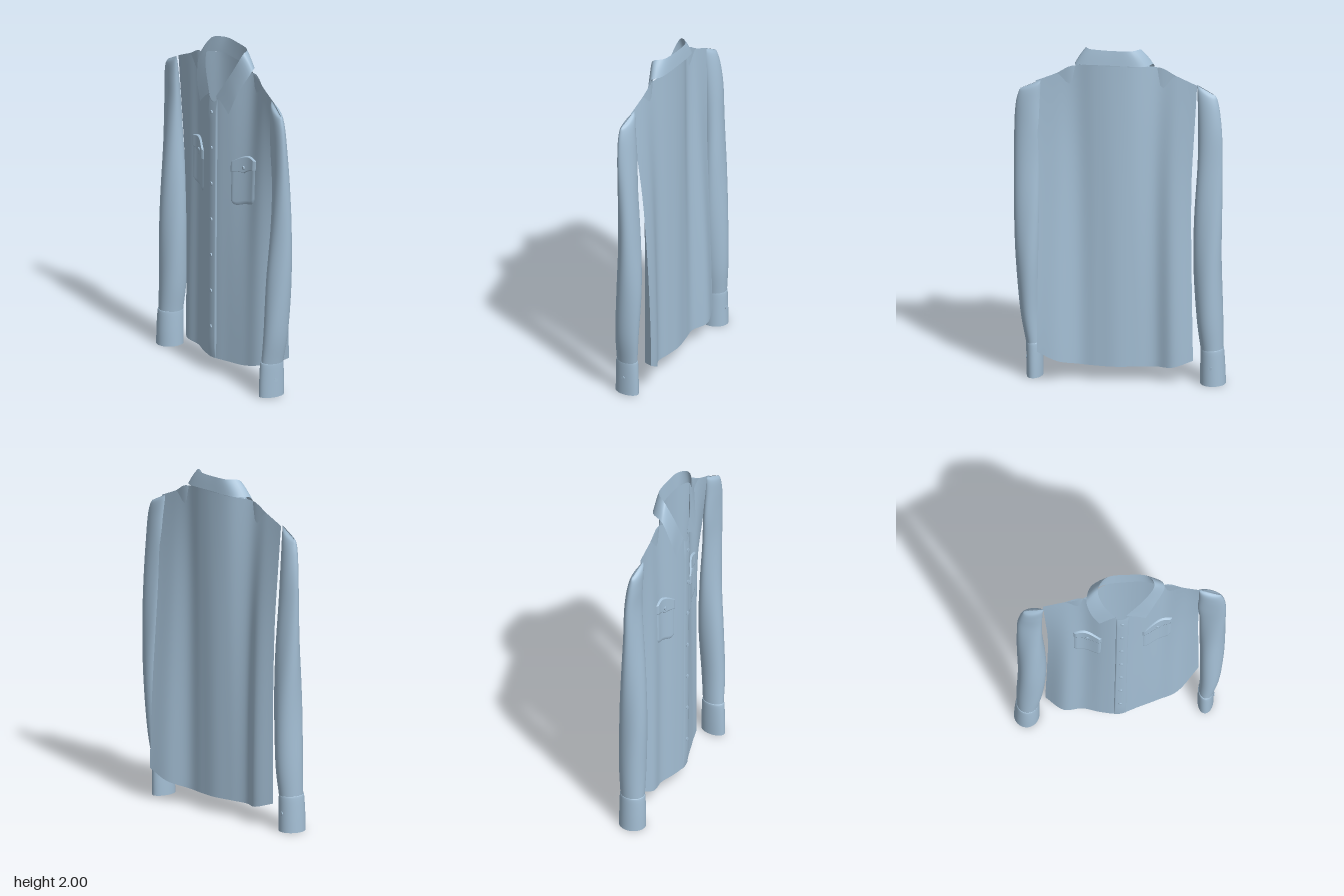
import * as THREE from 'three';

const cloth = new THREE.MeshStandardMaterial({ color: 0xa4bfd5, side: THREE.DoubleSide });
cloth.name = 'blue cloth';

// smooth (Catmull-Rom) lookup in an evenly spaced table, u in 0..1
function smooth(table, u) {
  const n = table.length - 1, f = Math.min(Math.max(u, 0), 1) * n;
  const i = Math.min(Math.floor(f), n - 1), k = f - i;
  const b = table[i], c = table[i + 1];
  const a = i > 0 ? table[i - 1] : 2 * b - c;
  const d = i < n - 1 ? table[i + 2] : 2 * c - b;
  return b + 0.5 * k * (c - a + k * (2 * a - 5 * b + 4 * c - d + k * (3 * (b - c) + d - a)));
}

// sheet of cloth from a function (u, v) -> [x, y, z]
function sheet(name, fn, nu, nv, closed = false) {
  const pos = [], idx = [], cols = closed ? nu : nu + 1;
  for (let j = 0; j <= nv; j++)
    for (let i = 0; i < cols; i++) pos.push(...fn(i / nu, j / nv));
  for (let j = 0; j < nv; j++)
    for (let i = 0; i < nu; i++) {
      const a = j * cols + i, b = j * cols + (i + 1) % cols;
      idx.push(a, b, b + cols, a, b + cols, a + cols);
    }
  const g = new THREE.BufferGeometry();
  g.setAttribute('position', new THREE.Float32BufferAttribute(pos, 3));
  g.setIndex(idx);
  g.computeVertexNormals();
  const mesh = new THREE.Mesh(g, cloth);
  mesh.name = name;
  return mesh;
}

// torso panels: nine stations across, from the right side (-z) to the left (+z)
const hemY = [0.14, 0.105, 0.095, 0.095, 0.095, 0.095, 0.1, 0.13, 0.19];
const panels = {
  back: {
    hemX: [-0.05, 0.0, -0.025, 0.01, 0.045, 0.055, 0.065, 0.14, 0.18],
    topX: [-0.1, -0.085, -0.07, 0.01, 0.045, 0.055, 0.045, 0.055, 0.065],
    topY: [1.785, 1.835, 1.885, 1.905, 1.905, 1.905, 1.89, 1.835, 1.785],
  },
  front: {
    hemX: [-0.05, -0.105, -0.085, -0.1, -0.1, -0.05, 0.0, 0.05, 0.18],
    topX: [-0.1, -0.085, -0.07, -0.1, -0.1, -0.04, 0.045, 0.055, 0.065],
    topY: [1.785, 1.835, 1.885, 1.8, 1.66, 1.8, 1.89, 1.835, 1.785],
  },
};
const halfWidth = [0.43, 0.427, 0.424, 0.422, 0.425, 0.44, 0.455];

function torso(side, u, t, lift = 0) {
  const p = panels[side], w = t ** 1.6;
  const hem = smooth(hemY, u);
  return [
    smooth(p.hemX, u) * (1 - w) + smooth(p.topX, u) * w - lift,
    hem + t * (smooth(p.topY, u) - hem),
    0.005 + 0.015 * t + (2 * u - 1) * smooth(halfWidth, t),
  ];
}

// raised patch lying on the front panel; bottom(k) gives its lower edge for k in -1..1
function patch(name, u0, u1, bottom, top, lift) {
  return sheet(name, (a, b) => {
    const edge = a === 0 || a === 1 || b === 0 || b === 1;
    const low = bottom(2 * a - 1);
    return torso('front', u0 + (u1 - u0) * a, low + (top - low) * b, edge ? 0.002 : lift);
  }, 16, 24);
}

function button(name, x, y, z, axis) {
  const m = new THREE.Mesh(new THREE.CylinderGeometry(0.011, 0.011, 0.007, 16), cloth);
  m.name = name;
  if (axis === 'x') m.rotation.z = Math.PI / 2;
  else m.rotation.x = Math.PI / 2;
  m.position.set(x, y, z);
  return m;
}

// tube through rows of [y, centre x, radius x, centre z, radius z, slope across z]
function tube(name, rows, fold, nv) {
  const col = rows[0].map((_, i) => rows.map(r => r[i]));
  return sheet(name, (u, v) => {
    const [y, cx, rx, cz, rz, slope] = col.map(c => smooth(c, v));
    const a = u * Math.PI * 2;
    const k = 1 + fold * Math.sin(Math.PI * v) * Math.sin(3 * a + y * 5);
    const dz = rz * k * Math.sin(a);
    return [cx + rx * k * Math.cos(a), y + slope * dz, cz + dz];
  }, 36, nv, true);
}

// sleeves start as a flat sloping ridge that continues the shoulder
const leftRows = [
  [1.762, 0.066, 0.003, 0.505, 0.06, -0.5], [1.735, 0.067, 0.024, 0.51, 0.066, -0.4],
  [1.65, 0.071, 0.033, 0.518, 0.073, -0.15],
  [1.5, 0.077, 0.038, 0.52, 0.08, 0], [1.3, 0.084, 0.044, 0.525, 0.075, 0], [1.0, 0.088, 0.058, 0.52, 0.073, 0],
  [0.7, 0.08, 0.074, 0.515, 0.068, 0], [0.4, 0.062, 0.073, 0.508, 0.056, 0], [0.2, 0.048, 0.066, 0.488, 0.043, 0]];
const rightRows = [
  [1.757, -0.115, 0.003, -0.485, 0.056, 0.5], [1.725, -0.115, 0.024, -0.493, 0.06, 0.4],
  [1.64, -0.108, 0.034, -0.503, 0.065, 0.15],
  [1.5, -0.1, 0.04, -0.51, 0.07, 0], [1.3, -0.1, 0.05, -0.508, 0.073, 0], [1.0, -0.1, 0.068, -0.502, 0.08, 0],
  [0.7, -0.1, 0.08, -0.5, 0.081, 0], [0.4, -0.1, 0.08, -0.51, 0.076, 0], [0.2, -0.107, 0.072, -0.522, 0.064, 0]];

// collar: neck seam, fold and outer edge, running from right front round the back to left front
const collarFold = [
  [-0.105, 1.7, -0.02], [-0.095, 1.86, -0.09], [-0.05, 1.985, -0.125], [0.025, 2, -0.08], [0.05, 2, 0.035],
  [0.052, 2, 0.15], [0.0, 1.985, 0.195], [-0.045, 1.86, 0.14], [-0.09, 1.7, 0.04]];
const collarOuter = [
  [-0.12, 1.62, -0.11], [-0.115, 1.76, -0.16], [-0.075, 1.895, -0.188], [0.02, 1.91, -0.145], [0.062, 1.915, 0.035],
  [0.072, 1.91, 0.195], [0.03, 1.895, 0.252], [-0.03, 1.76, 0.2], [-0.065, 1.62, 0.15]];
const collarSeam = [
  [-0.1, 1.67, -0.02], [-0.095, 1.8, -0.1], [-0.055, 1.885, -0.17], [0.01, 1.9, -0.105], [0.042, 1.9, 0.035],
  [0.05, 1.9, 0.15], [0.025, 1.885, 0.23], [-0.035, 1.8, 0.15], [-0.085, 1.67, 0.04]];

function collarPart(name, from, to, bulge) {
  return sheet(name, (u, v) => [0, 1, 2].map(i => {
    const a = smooth(from.map(p => p[i]), u), b = smooth(to.map(p => p[i]), u);
    return a + (b - a) * v + (i === 1 ? bulge * Math.sin(Math.PI * v) : 0);
  }), 48, 8);
}

export function createModel() {
  const model = new THREE.Group();
  model.name = 'shirt';

  model.add(sheet('backPanel', (u, v) => torso('back', 1 - u, v), 48, 48));
  model.add(sheet('frontPanel', (u, v) => torso('front', u, v), 48, 48));

  // collar
  const collar = new THREE.Group();
  collar.name = 'collar';
  collar.add(collarPart('collarStand', collarSeam, collarFold, 0));
  collar.add(collarPart('collarLeaf', collarFold, collarOuter, 0.006));
  model.add(collar);

  // button placket
  model.add(patch('placket', 0.46, 0.54, () => 0, 1, 0.008));
  for (let i = 0; i < 7; i++) {
    const [x, y, z] = torso('front', 0.5, 0.12 + i * 0.14, 0.01);
    model.add(button('frontButton', x, y, z, 'x'));
  }

  // chest pockets with pointed flaps
  for (const [side, u0, u1] of [['left', 0.64, 0.82], ['right', 0.18, 0.36]]) {
    model.add(patch(side + 'Pocket', u0, u1, k => 0.55 + 0.025 * k ** 4, 0.7, 0.008));
    model.add(patch(side + 'PocketFlap', u0 - 0.005, u1 + 0.005, k => 0.655 + 0.025 * Math.abs(k), 0.715, 0.014));
    const [x, y, z] = torso('front', (u0 + u1) / 2, 0.675, 0.016);
    model.add(button(side + 'PocketButton', x, y, z, 'x'));
  }

  // sleeves and cuffs
  model.add(tube('leftSleeve', leftRows, 0.05, 60));
  model.add(tube('rightSleeve', rightRows, 0.05, 60));
  model.add(tube('leftCuff', [
    [0.215, 0.049, 0.064, 0.488, 0.042, 0], [0.2, 0.047, 0.071, 0.487, 0.046, 0],
    [0.1, 0.046, 0.075, 0.485, 0.046, 0], [0.005, 0.045, 0.076, 0.484, 0.045, 0]], 0, 12));
  model.add(tube('rightCuff', [
    [0.215, -0.107, 0.07, -0.522, 0.063, 0], [0.2, -0.108, 0.076, -0.523, 0.067, 0],
    [0.1, -0.11, 0.079, -0.525, 0.071, 0], [0, -0.11, 0.08, -0.527, 0.073, 0]], 0, 12));
  model.add(button('leftCuffButton', 0.052, 0.11, 0.531, 'z'));
  model.add(button('rightCuffButton', -0.031, 0.11, -0.53, 'x'));

  return model;
}
